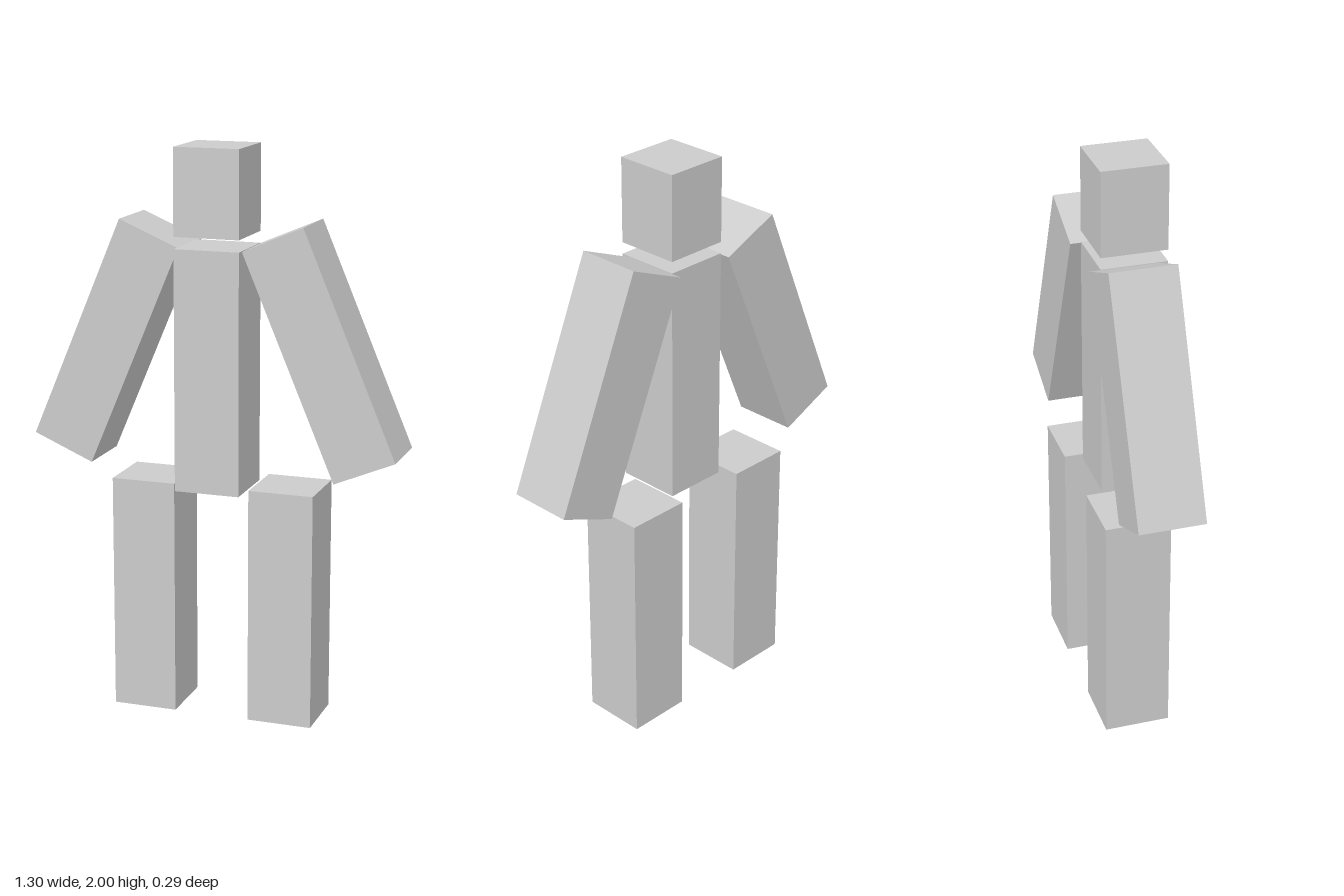
import * as THREE from 'three';

const WIDTH = 0.229; // every block shares the same square section

export function createModel() {
  const model = new THREE.Group();
  const material = new THREE.MeshStandardMaterial({ color: 0xcccccc, flatShading: true });

  const addBlock = (name, height, x, y, z, tilt = 0) => {
    const mesh = new THREE.Mesh(new THREE.BoxGeometry(WIDTH, height, WIDTH), material);
    mesh.name = name;
    mesh.position.set(x, y, z);
    mesh.rotation.z = tilt;
    model.add(mesh);
  };

  // Head and torso, set slightly forward
  addBlock('head', 0.297, 0, 1.852, 0.031);
  addBlock('torso', 0.834, 0, 1.246, 0.031);

  // Arms, splayed outwards from the shoulders
  const splay = THREE.MathUtils.degToRad(23);
  addBlock('leftArm', 0.832, 0.38, 1.322, -0.006, splay);
  addBlock('rightArm', 0.832, -0.38, 1.322, -0.006, -splay);

  // Legs, set slightly back and a touch off-centre
  addBlock('leftLeg', 0.836, 0.244, 0.418, -0.031);
  addBlock('rightLeg', 0.836, -0.255, 0.418, -0.031);

  return model;
}
